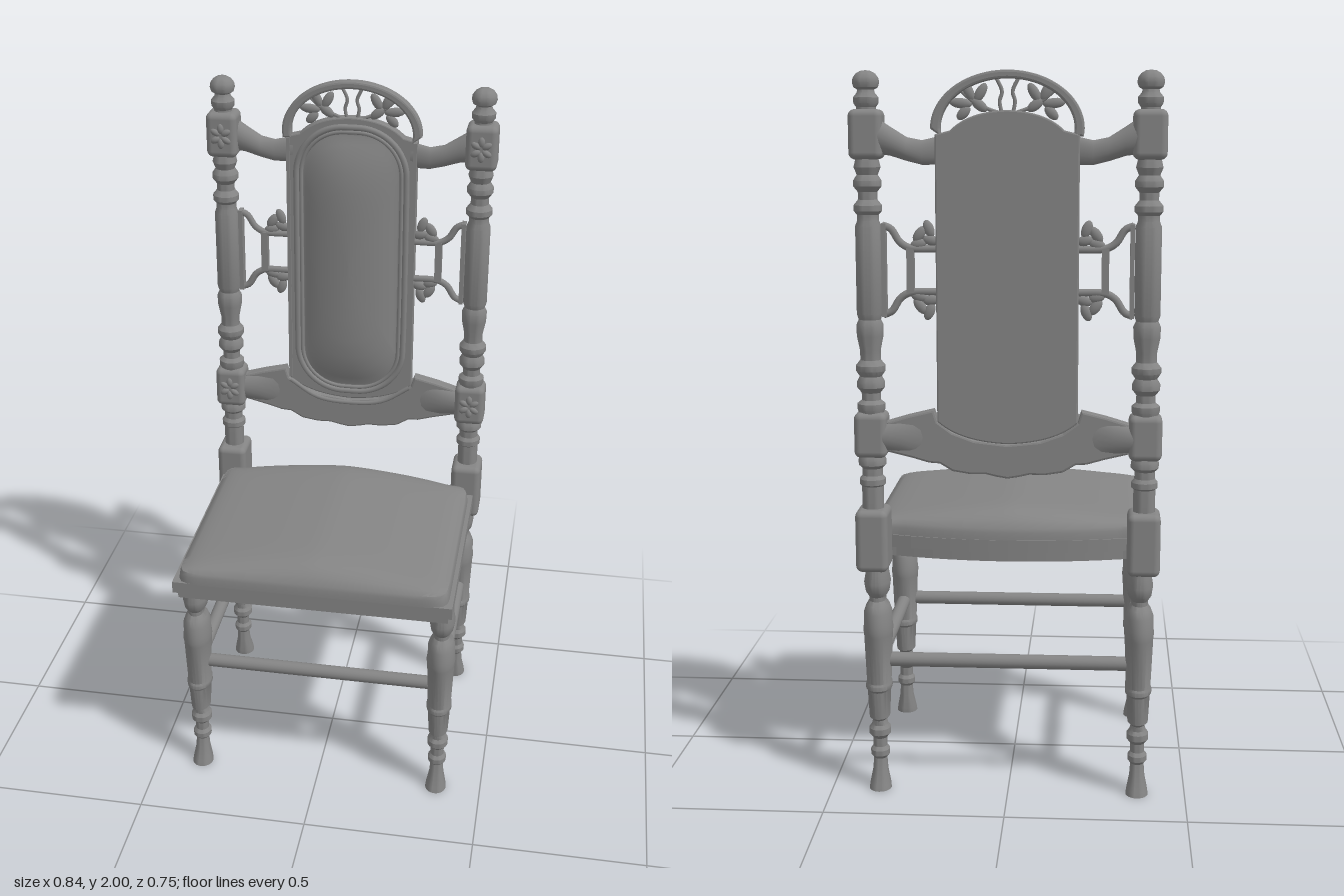
import * as THREE from 'three';
import { toCreasedNormals, mergeVertices } from 'three/addons/utils/BufferGeometryUtils.js';
import { RoundedBoxGeometry } from 'three/addons/geometries/RoundedBoxGeometry.js';

const material = new THREE.MeshStandardMaterial({ color: 0x848484 });
const POST_X = 0.373, POST_Z = -0.316, LEG_X = 0.365, LEG_Z = 0.255;
const V3 = (x, y, z) => new THREE.Vector3(x, y, z);

export function createModel() {
  const root = new THREE.Group();
  root.name = 'chair';

  const add = (name, geo, x = 0, y = 0, z = 0) => {
    const mesh = new THREE.Mesh(geo, material);
    mesh.name = name;
    mesh.position.set(x, y, z);
    root.add(mesh);
    return mesh;
  };
  const turned = (profile) => new THREE.LatheGeometry(profile.map(([r, y]) => new THREE.Vector2(r, y)), 24);
  const tube = (name, pts, r, closed = false, seg = 24) =>
    add(name, new THREE.TubeGeometry(new THREE.CatmullRomCurve3(pts, closed), seg, r, 8, closed));
  const plate = (name, shape, z, depth, bevel = 0.004) =>
    add(name, new THREE.ExtrudeGeometry(shape, { depth: depth - 2 * bevel, bevelSize: bevel,
      bevelThickness: bevel, bevelOffset: -bevel, bevelSegments: 2, curveSegments: 24 }), 0, 0, z + bevel);
  const leaf = (name, x, y, z, angle, len, wide) => {
    const m = add(name, new THREE.SphereGeometry(1, 12, 8), x, y, z);
    m.scale.set(len / 2, wide / 2, 0.009);
    m.rotation.z = angle;
  };
  // Skin over equal-length rings of points
  const loft = (rings) => {
    const n = rings[0].length, idx = [];
    for (let j = 0; j < rings.length - 1; j++) for (let i = 0; i < n; i++) {
      const a = j * n + i, b = j * n + (i + 1) % n;
      idx.push(a, b, b + n, a, b + n, a + n);
    }
    const g = new THREE.BufferGeometry().setFromPoints(rings.flat());
    g.setIndex(idx);
    g.computeVertexNormals();
    return g;
  };
  // Oval bar running inwards from a post; stations are [x, y, half height, half depth]
  const taperedBar = (name, s, z, stations) =>
    add(name, loft(stations.map(([x, y, h, d]) => Array.from({ length: 20 }, (_, i) => {
      const a = -s * i * Math.PI / 10;
      return V3(s * x, y + h * Math.cos(a), z + d * Math.sin(a));
    }))));

  // Turned legs: oval in section, feet swept outward
  const legProfile = [[0, 0], [0.035, 0], [0.033, 0.015], [0.024, 0.055], [0.021, 0.09], [0.03, 0.1], [0.03, 0.115],
    [0.022, 0.125], [0.022, 0.15], [0.034, 0.163], [0.034, 0.18], [0.026, 0.19], [0.027, 0.205], [0.041, 0.215],
    [0.047, 0.295], [0.053, 0.302], [0.053, 0.314], [0.049, 0.32], [0.057, 0.46], [0.06, 0.475], [0.057, 0.49],
    [0.056, 0.525], [0.046, 0.545], [0.034, 0.558], [0.034, 0.57], [0.047, 0.585], [0.053, 0.612], [0.046, 0.64], [0.044, 0.675]];
  const leg = (name, x, z, lean) => {
    const g = turned(legProfile), p = g.attributes.position;
    for (let i = 0; i < p.count; i++) {
      const y = p.getY(i);
      p.setX(i, p.getX(i) * (y > 0.2 ? 0.7 : 0.9));
      p.setZ(i, p.getZ(i) + lean * 0.01 * Math.max(0, 1 - y / 0.1) ** 2);
    }
    add(name, toCreasedNormals(g, 0.6), x, 0, z);
  };

  // Turned lengths of the back posts
  const lowerPost = [[0.03, 0.8], [0.03, 0.885], [0.036, 0.89], [0.036, 0.905], [0.028, 0.915], [0.028, 0.935],
    [0.038, 0.945], [0.038, 0.96], [0.03, 0.975]];
  const upperPost = [[0.03, 1.08], [0.038, 1.1], [0.038, 1.115], [0.026, 1.125], [0.026, 1.145], [0.038, 1.16],
    [0.038, 1.175], [0.03, 1.19], [0.04, 1.205], [0.04, 1.22], [0.028, 1.235], [0.028, 1.26], [0.036, 1.3],
    [0.037, 1.33], [0.03, 1.345], [0.035, 1.36], [0.035, 1.595], [0.029, 1.61], [0.029, 1.625], [0.038, 1.635],
    [0.038, 1.65], [0.026, 1.665], [0.026, 1.685], [0.038, 1.7], [0.038, 1.715], [0.028, 1.73], [0.036, 1.75], [0.03, 1.775]];
  const finial = [[0.026, 1.89], [0.026, 1.905], [0.033, 1.915], [0.034, 1.93], [0.024, 1.942], [0.022, 1.95],
    [0.032, 1.956], [0.036, 1.968], [0.034, 1.98], [0.026, 1.991], [0.014, 1.998], [0, 2]];

  for (const s of [1, -1]) {
    const side = s > 0 ? 'left' : 'right', x = s * POST_X;
    leg(side + 'FrontLeg', s * LEG_X, LEG_Z, 1);
    leg(side + 'BackLeg', s * LEG_X, POST_Z, -1);
    for (const [part, profile] of [['LowerPost', lowerPost], ['UpperPost', upperPost], ['Finial', finial]])
      add(side + part, toCreasedNormals(turned(profile), 0.6), x, 0, POST_Z);

    // Square joint blocks with carved rosettes
    add(side + 'SeatBlock', new RoundedBoxGeometry(0.09, 0.175, 0.112, 3, 0.018), x, 0.735, POST_Z);
    for (const [y, h] of [[1.03, 0.125], [1.835, 0.13]]) {
      add(side + 'BackBlock', new RoundedBoxGeometry(0.09, h, 0.085, 3, 0.018), x, y, POST_Z);
      for (let k = 0; k < 6; k++) {
        const a = k * Math.PI / 3 + Math.PI / 6;
        leaf(side + 'RosettePetal', x + 0.018 * Math.cos(a), y + 0.022 * Math.sin(a), -0.276, a, 0.032, 0.02);
      }
    }

    // Swept arm to the panel, and thickened shoulder of the lower rail
    taperedBar(side + 'UpperArm', s, -0.325, [[0.34, 1.83, 0.046, 0.032], [0.31, 1.818, 0.038, 0.029],
      [0.265, 1.797, 0.031, 0.023], [0.225, 1.788, 0.032, 0.017], [0.17, 1.795, 0.038, 0.014]]);
    taperedBar(side + 'RailShoulder', s, -0.322, [[0.34, 1.026, 0.042, 0.036], [0.29, 1.026, 0.05, 0.031],
      [0.24, 1.026, 0.06, 0.022], [0.19, 1.025, 0.068, 0.012]]);

    // Openwork bracket between post and panel
    const P = (px, py) => V3(s * px, py, -0.32);
    add(side + 'BracketStrip', new THREE.BoxGeometry(0.012, 0.25, 0.03), s * 0.331, 1.478, -0.32);
    add(side + 'BracketBar', new THREE.BoxGeometry(0.02, 0.12, 0.022), s * 0.26, 1.478, -0.32);
    for (const v of [1, -1]) {
      const Y = (d) => 1.478 + v * d;
      tube(side + 'BracketCurve', [P(0.335, Y(0.12)), P(0.312, Y(0.11)), P(0.288, Y(0.075)), P(0.262, Y(0.06)), P(0.185, Y(0.057))], 0.01);
      for (const [lx, d, a, len] of [[0.235, 0.096, 2.2, 0.05], [0.21, 0.11, 1.2, 0.05], [0.205, 0.08, 0.2, 0.045], [0.238, 0.07, 2.9, 0.045]])
        leaf(side + 'BracketLeaf', s * lx, Y(d), -0.32, s * v * a, len, 0.028);
    }

    // Leaf spray and stems inside the crest
    for (const [lx, ly, a, len] of [[0.122, 1.915, 0.1, 0.06], [0.102, 1.945, 1.1, 0.055], [0.07, 1.942, 2.1, 0.055], [0.073, 1.91, -2.5, 0.05], [0.115, 1.89, -0.8, 0.045]])
      leaf('crestLeaf', s * lx, ly, -0.325, s * a, len, 0.027);
    tube('crestStem', [V3(s * 0.012, 1.88, -0.325), V3(s * 0.02, 1.92, -0.325), V3(s * 0.014, 1.945, -0.325), V3(s * 0.03, 1.982, -0.325)], 0.005);
    tube('crestTendril', [V3(s * 0.02, 1.89, -0.325), V3(s * 0.05, 1.9, -0.325), V3(s * 0.09, 1.92, -0.325), V3(s * 0.13, 1.955, -0.325)], 0.005);

    add(side + 'Stretcher', new THREE.CylinderGeometry(0.02, 0.02, 0.55, 16).rotateX(Math.PI / 2), s * LEG_X, 0.382, -0.03);
  }
  for (const [name, z] of [['frontStretcher', LEG_Z], ['backStretcher', POST_Z]])
    add(name, new THREE.CylinderGeometry(0.02, 0.02, 0.72, 16).rotateZ(Math.PI / 2), 0, 0.382, z);

  // Seat frame: bowed back edge, stepped lower rim open underneath
  const outline = (w, f, b, path = new THREE.Shape()) => {
    path.moveTo(-w, f);
    path.lineTo(w, f);
    path.lineTo(w, b);
    path.lineTo(w - 0.07, b - 0.005);
    path.quadraticCurveTo(0, b - 0.09, 0.07 - w, b - 0.005);
    path.lineTo(-w, b);
    path.closePath();
    return path;
  };
  const slab = (name, shape, top, depth) =>
    add(name, new THREE.ExtrudeGeometry(shape, { depth, bevelEnabled: false }).rotateX(Math.PI / 2), 0, top, 0);
  const rim = outline(0.388, 0.357, -0.26);
  rim.holes.push(outline(0.335, 0.3, -0.215, new THREE.Path()));
  slab('seatRim', rim, 0.7, 0.03);
  slab('seatFrame', outline(0.4, 0.372, -0.26), 0.73, 0.035);

  // Seat cushion: crowned across its width, rounded at the edges
  let cushion = new THREE.BoxGeometry(2, 1, 2, 40, 3, 40);
  cushion.deleteAttribute('normal');
  cushion.deleteAttribute('uv');
  cushion = mergeVertices(cushion);
  const cp = cushion.attributes.position;
  for (let i = 0; i < cp.count; i++) {
    const u = cp.getX(i), v = cp.getZ(i), t = cp.getY(i) + 0.5;
    const bow = 0.044 * Math.max(0, 1 - (u / 0.86) ** 2) * Math.max(0, -v);
    const pull = 1 - 0.015 * t * t;
    const crown = 0.04 * (1 - Math.abs(u) ** 1.35) * (1 - Math.abs(v) ** 9) + 0.01 * (1 - Math.abs(u) ** 16) * (1 - Math.abs(v) ** 16);
    cp.setXYZ(i, 0.388 * u * pull * (1 - 0.035 * Math.abs(v) ** 24), 0.728 + t * 0.034 + (t > 0.99 ? crown : 0),
      0.056 + 0.318 * v * pull * (1 - 0.035 * Math.abs(u) ** 24) - bow);
  }
  add('seatCushion', toCreasedNormals(cushion, 0.9));

  // Back panel with arched head and foot
  const panel = new THREE.Shape();
  panel.moveTo(-0.19, 1.07);
  panel.quadraticCurveTo(-0.13, 1.015, 0, 1.01);
  panel.quadraticCurveTo(0.13, 1.015, 0.19, 1.07);
  panel.lineTo(0.19, 1.835);
  panel.lineTo(0.15, 1.845);
  panel.quadraticCurveTo(0.1, 1.895, 0, 1.897);
  panel.quadraticCurveTo(-0.1, 1.895, -0.15, 1.845);
  panel.lineTo(-0.19, 1.835);
  panel.closePath();
  plate('backPanel', panel, -0.345, 0.033);

  // Rounded outline shared by the padding and its mouldings
  const oval = (w, h, r = 0.125) => {
    const o = new THREE.Shape(), a = w - r, b = h - r, q = Math.PI / 2;
    o.moveTo(w, -b);
    o.absarc(a, b, r, 0, q);
    o.absarc(-a, b, r, q, 2 * q);
    o.absarc(-a, -b, r, 2 * q, 3 * q);
    o.absarc(a, -b, r, 3 * q, 4 * q);
    return o.getSpacedPoints(120).slice(0, -1);
  };
  const PAD_Y = 1.453, PAD_W = 0.145, PAD_H = 0.4, padEdge = oval(PAD_W, PAD_H);
  add('backPadding', loft([1, 0.97, 0.92, 0.84, 0.72, 0.58, 0.42, 0.25, 0.1, 0].map((k) => padEdge.map((p) => {
    const bulge = (1 - (k * p.x / PAD_W) ** 2) * (1 - (k * p.y / PAD_H) ** 6) * (1 - k ** 12);
    return V3(k * p.x, PAD_Y + k * p.y, -0.313 + 0.04 * bulge);
  }))));
  for (const [name, grow, r] of [['outerMoulding', 0.016, 0.009], ['innerMoulding', 0.002, 0.006]])
    tube(name, oval(PAD_W + grow, PAD_H + grow, 0.125 + grow).map((p) => V3(p.x, PAD_Y + p.y, -0.312)), r, true, 144);
  for (const s of [1, -1])
    add('panelEdgeMoulding', new THREE.BoxGeometry(0.01, 0.76, 0.01), s * 0.184, PAD_Y, -0.31);

  // Pierced crest arch
  const crest = new THREE.Shape();
  crest.moveTo(0.2, 1.83);
  crest.absellipse(0, 1.85, 0.202, 0.15, 0, Math.PI, false);
  crest.lineTo(-0.2, 1.83);
  crest.lineTo(-0.174, 1.83);
  crest.absellipse(0, 1.85, 0.176, 0.128, Math.PI, 0, true);
  crest.lineTo(0.174, 1.83);
  crest.closePath();
  plate('crestArch', crest, -0.343, 0.034, 0.006);

  // Scalloped lower rail
  const lower = [[0.33, 0.985], [0.26, 0.968], [0.215, 0.955], [0.185, 0.953], [0.15, 0.932], [0.1, 0.924], [0.06, 0.925], [0.03, 0.918]];
  const upper = [[0.33, 1.067], [0.27, 1.085], [0.2, 1.102], [0.19, 1.07], [0.15, 1.04], [0.09, 1.018], [0, 1.008]];
  const flip = (pts) => pts.map(([x, y]) => [-x, y]);
  const railPts = [...flip(lower), [0, 0.913], ...[...lower].reverse(), ...upper, ...flip(upper.slice(0, -1)).reverse()];
  plate('lowerRail', new THREE.Shape(railPts.map(([x, y]) => new THREE.Vector2(x, y))), -0.342, 0.038, 0.006);
  tube('railBead', [V3(-0.185, 1.065, -0.305), V3(-0.1, 1.012, -0.305), V3(0, 1.0, -0.305), V3(0.1, 1.012, -0.305), V3(0.185, 1.065, -0.305)], 0.007);

  return root;
}
